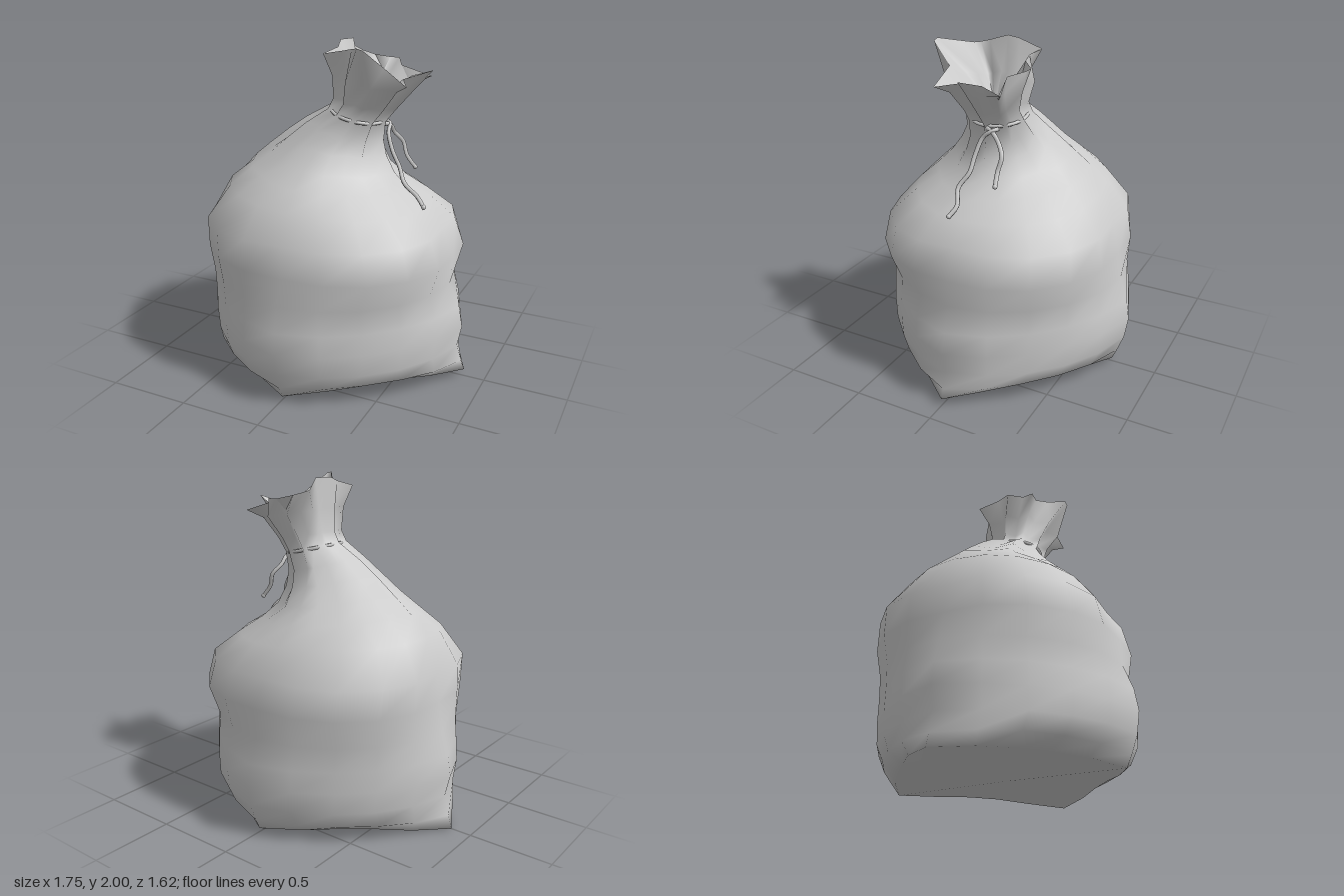
import * as THREE from 'three';

const N = 20; // columns: even ones are pleat ridges, odd ones are folds

// Sack rows: [y, xMin, xMax, zHalf, tilt, pleat depth, fullness at the diagonals, lift at the diagonals]
const ROWS = [
  [0.022, -0.873, 0.873, 0.72, -0.022, 0, 0.78, 0.035],
  [0.09, -0.85, 0.85, 0.75, -0.01, 0, 0.89, 0.02],
  [0.20, -0.82, 0.82, 0.79, 0, 0, 0.92, 0],
  [0.33, -0.85, 0.845, 0.81, 0, 0, 0.9, 0],
  [0.46, -0.83, 0.82, 0.79, 0, 0, 0.92, 0],
  [0.60, -0.79, 0.755, 0.74, 0, 0, 0.98, 0],
  [0.77, -0.755, 0.77, 0.725, 0, 0, 1.06, 0],
  [0.94, -0.735, 0.69, 0.67, 0, 0, 1.11, 0],
  [1.10, -0.665, 0.59, 0.575, 0.04, 0, 1.01, 0],
  [1.20, -0.56, 0.48, 0.485, 0.05, 0.03, 0.94, 0],
  [1.29, -0.45, 0.385, 0.40, 0.05, 0.08, 0.9, 0],
  [1.39, -0.32, 0.33, 0.31, 0.05, 0.15, 0.91, 0],
  [1.48, -0.19, 0.31, 0.24, 0.05, 0.23, 0.95, 0],
  [1.58, -0.03, 0.32, 0.20, 0.04, 0.28, 1, 0],
  [1.65, 0.0, 0.385, 0.195, 0.03, 0.28, 1, 0],
  [1.78, 0.0, 0.49, 0.25, 0.04, 0.28, 1, 0],
];

// Rim of the gathered mouth
const MOUTH = [
  [0.60, 1.86, 0], [0.45, 1.81, 0.07], [0.52, 1.79, 0.20], [0.38, 1.88, 0.18],
  [0.31, 1.99, 0.32], [0.275, 2.00, 0.32], [0.20, 1.98, 0.22], [0.12, 1.96, 0.17],
  [0.01, 1.94, 0.19], [0.06, 1.97, 0.10], [0.03, 2.00, 0], [0.07, 2.00, -0.09],
  [0.02, 1.94, -0.21], [0.10, 1.92, -0.17], [0.17, 1.90, -0.18], [0.24, 1.88, -0.25],
  [0.30, 1.88, -0.25], [0.35, 1.85, -0.16], [0.52, 1.79, -0.21], [0.45, 1.81, -0.06],
];

function ringPoints([y, x0, x1, z, tilt, pleat, full, lift]) {
  const cx = (x0 + x1) / 2, rx = (x1 - x0) / 2;
  return Array.from({ length: N }, (_, i) => {
    const a = (i / N) * Math.PI * 2;
    const diagonal = Math.abs(Math.sin(2 * a));
    const s = (1 + (full - 1) * diagonal) * (i % 2 ? 1 - pleat : 1);
    return [cx + rx * s * Math.cos(a), y + lift * diagonal - tilt * Math.cos(a), z * s * Math.sin(a)];
  });
}

// Skin over a stack of rings, listed from the bottom up
function loft(rings) {
  const index = [];
  for (let r = 0; r < rings.length - 1; r++) {
    for (let i = 0; i < N; i++) {
      const a = r * N + i, b = r * N + ((i + 1) % N);
      index.push(a, a + N, b, b, a + N, b + N);
    }
  }
  const g = new THREE.BufferGeometry();
  g.setAttribute('position', new THREE.Float32BufferAttribute(rings.flat(2), 3));
  g.setIndex(index);
  g.computeVertexNormals();
  return g;
}

// Copy of a ring drawn in towards a point
const shrink = (ring, centre, t) => ring.map((p) => p.map((v, k) => v + (centre[k] - v) * t));

export function createModel() {
  const group = new THREE.Group();
  const cloth = new THREE.MeshStandardMaterial({ color: 0xcccccc, side: THREE.DoubleSide });
  const cordMaterial = new THREE.MeshStandardMaterial({ color: 0xcccccc });
  const add = (name, geo, mat) => {
    const mesh = new THREE.Mesh(geo, mat);
    mesh.name = name;
    group.add(mesh);
  };

  // Cloth sack with a softly rounded underside
  const rings = ROWS.map(ringPoints);
  const base = [0, 0.03, 0];
  add('sackBody', loft([shrink(rings[0], base, 1), shrink(rings[0], base, 0.3), ...rings, MOUTH]), cloth);

  // Mouth folding down into the tied neck
  const throat = [0.19, 1.62, 0];
  add('mouthInside', loft([1, 0.5, 0].map((t) => shrink(MOUTH, throat, 1 - t)).reverse()), cloth);

  // Drawstring threaded through the ridges, showing across the folds
  const tie = Array.from({ length: 40 }, (_, i) => {
    const a = (i / 40) * Math.PI * 2;
    const x = 0.145 + 0.152 * Math.cos(a);
    return new THREE.Vector3(x, 1.61 - 0.23 * (x + 0.02), 0.174 * Math.sin(a));
  });
  add('drawstring', new THREE.TubeGeometry(new THREE.CatmullRomCurve3(tie, true), 80, 0.011, 6, true), cordMaterial);

  // Loose cord ends with rounded tips
  const tails = [
    [[0.30, 1.53, -0.08], [0.33, 1.52, -0.05], [0.34, 1.48, 0.0], [0.38, 1.38, 0.03], [0.43, 1.29, 0.04],
      [0.48, 1.21, 0.085], [0.55, 1.13, 0.055], [0.60, 1.08, 0.08]],
    [[0.30, 1.53, 0.0], [0.33, 1.51, -0.06], [0.34, 1.46, -0.10], [0.38, 1.40, -0.14], [0.41, 1.32, -0.13],
      [0.46, 1.25, -0.14]],
  ];
  for (const tail of tails) {
    const pts = tail.map((p) => new THREE.Vector3(...p));
    add('cordEnd', new THREE.TubeGeometry(new THREE.CatmullRomCurve3(pts), 32, 0.013, 6), cordMaterial);
    const tip = new THREE.SphereGeometry(0.015, 8, 6);
    tip.translate(...tail[tail.length - 1]);
    add('cordTip', tip, cordMaterial);
  }
  return group;
}
